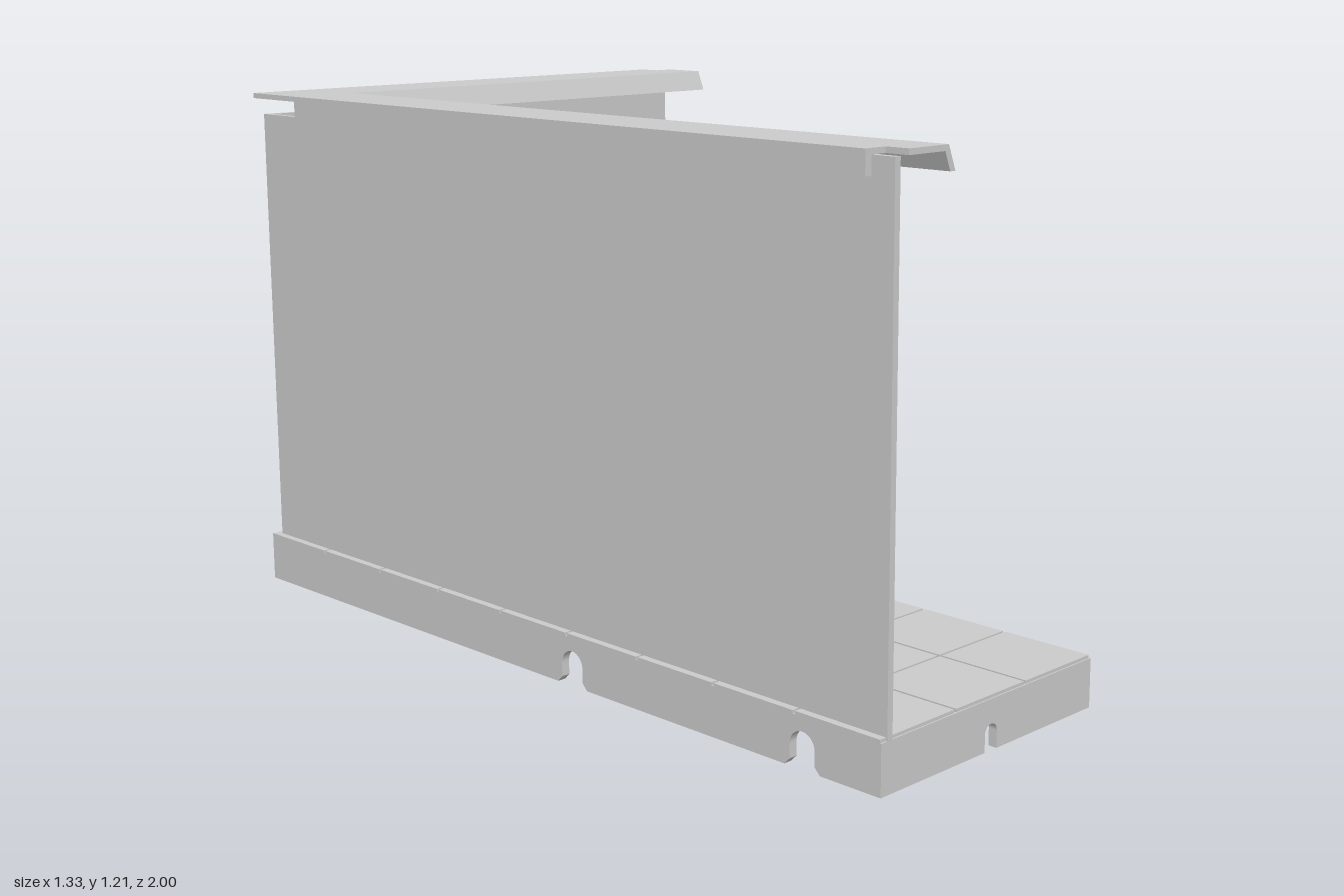
import * as THREE from 'three';

const W = 0.667, D = 1, FLOOR = 0.115, TOP = 1.21;
const grey = new THREE.MeshStandardMaterial({ color: 0xcccccc });
const thin = new THREE.MeshStandardMaterial({ color: 0xcccccc, side: THREE.DoubleSide, flatShading: true });
const yellow = new THREE.MeshStandardMaterial({ color: 0xdede00 });

function add(parent, name, geometry, material = grey) {
  const mesh = new THREE.Mesh(geometry, material);
  mesh.name = name;
  parent.add(mesh);
  return mesh;
}

// Box given by its minimum and maximum corners
function block(parent, name, x0, x1, y0, y1, z0, z1, material = grey) {
  const mesh = add(parent, name, new THREE.BoxGeometry(x1 - x0, y1 - y0, z1 - z0), material);
  mesh.position.set((x0 + x1) / 2, (y0 + y1) / 2, (z0 + z1) / 2);
  return mesh;
}

const polygon = pts => new THREE.Shape(pts.map(p => new THREE.Vector2(...p)));
const rect = (x0, x1, y0, y1) => polygon([[x0, y0], [x1, y0], [x1, y1], [x0, y1]]);
const extrude = (shape, depth) => new THREE.ExtrudeGeometry(shape, { depth, bevelEnabled: false, curveSegments: 10 });

// One side of the plinth from a to b, with cable arches cut out of its lower edge
function skirt(parent, a, b, arches) {
  const dx = b[0] - a[0], dz = b[1] - a[1], len = Math.hypot(dx, dz), t = 0.02;
  const s = new THREE.Shape();
  s.moveTo(0, 0);
  for (const [at, big] of arches) {
    const r = big ? 0.033 : 0.019, h = big ? 0.078 : 0.056, f = big ? 0.014 : 0;
    s.lineTo(at - r - f, 0);
    s.lineTo(at - r, f);
    s.lineTo(at - r, h - r);
    s.absarc(at, h - r, r, Math.PI, 0, true);
    s.lineTo(at + r, f);
    s.lineTo(at + r + f, 0);
  }
  s.lineTo(len, 0);
  s.lineTo(len, 0.108);
  s.lineTo(0, 0.108);
  const g = extrude(s, t);
  g.translate(0, 0, -t);
  const m = add(parent, 'plinthSide', g);
  m.position.set(a[0], 0, a[1]);
  m.rotation.y = Math.atan2(-dz, dx);
}

function buildBase(root) {
  const base = new THREE.Group();
  base.name = 'base';
  root.add(base);
  const c = -0.333;
  skirt(base, [-W, D], [0, D], [[0.333, false]]);
  skirt(base, [0, D], [0, c], [[0.2, true], [0.333, false], [0.87, true], [1, false]]);
  skirt(base, [0, c], [W, c], [[0.2, true], [0.333, false]]);
  skirt(base, [W, c], [W, -D], [[0.333, false]]);
  skirt(base, [W, -D], [-W, -D], [[W - 0.2, true]]);
  skirt(base, [-W, -D], [-W, D], [[1.13, true], [1.8, true]]);

  // L-shaped slab below the tiles
  const i = 0.01;
  const slab = extrude(polygon([[-W + i, -D + i], [-i, -D + i], [-i, -c + i], [W - i, -c + i], [W - i, D - i], [-W + i, D - i]]), 0.021);
  slab.rotateX(-Math.PI / 2);
  slab.translate(0, 0.086, 0);
  add(base, 'floorSlab', slab);

  // Square floor tiles with open joints
  const p = 2 / 9, g = 0.003;
  for (let r = 0; r < 9; r++) {
    for (let k = 0; k < (r < 3 ? 6 : 3); k++) {
      const x = -W + k * p, z = -D + r * p;
      block(base, 'floorTile', x + (k ? g : 0), x + p - g, 0.106, FLOOR, z + (r ? g : 0), z + p - g);
    }
  }
}

// Mitred sweep of a section [distance from the outer edge, y] along both walls
function cornice(parent, name, section, inset) {
  const stations = [
    d => [-W + d, D - inset],
    d => [-W + d, -D + d],
    d => [W - inset, -D + d],
  ];
  const pos = [], n = section.length;
  const pt = (s, i) => {
    const [d, y] = section[i % n], [x, z] = stations[s](d);
    return [x, y, z];
  };
  for (let s = 0; s < 2; s++) {
    for (let i = 0; i < n; i++) {
      const a = pt(s, i), b = pt(s, i + 1), e = pt(s + 1, i + 1), f = pt(s + 1, i);
      pos.push(...a, ...b, ...e, ...a, ...e, ...f);
    }
  }
  const caps = THREE.ShapeUtils.triangulateShape(section.map(p => new THREE.Vector2(...p)), []);
  for (const s of [0, 2]) for (const tri of caps) for (const i of tri) pos.push(...pt(s, i));
  const geo = new THREE.BufferGeometry();
  geo.setAttribute('position', new THREE.Float32BufferAttribute(pos, 3));
  geo.computeVertexNormals();
  add(parent, name, geo, thin);
}

// Slanted warning stripes on a thin backing strip, in wall coordinates
function hazard(parent, x0, x1, y0, y1) {
  block(parent, 'stripeBacking', x0, x1, y0, y1, 0, 0.003);
  const h = y1 - y0, clamp = v => Math.min(x1, Math.max(x0, v));
  for (let s = x0 - 0.05; s < x1; s += 0.1) {
    const a = clamp(s), b = clamp(s + 0.055), e = clamp(s + 0.055 + h), f = clamp(s + h);
    if (b - a + e - f < 0.004) continue;
    const m = add(parent, 'warningStripe', extrude(polygon([[a, y0], [b, y0], [e, y1], [f, y1]]), 0.002), yellow);
    m.position.z = 0.003;
  }
}

function buildBackWall(root) {
  const wall = new THREE.Group();
  wall.name = 'backWall';
  wall.position.z = -0.968;
  root.add(wall);
  block(wall, 'backPanel', -0.65, W, 0.09, 1.16, -0.016, 0);
  block(wall, 'backPanelTop', -0.5, W, 1.16, 1.198, -0.016, 0);
  block(wall, 'backLip', -0.5, W - 0.055, 1.16, 1.199, -0.032, -0.016);

  // Roller shutter with frame, header and slats
  const frame = rect(-0.385, 0.45, FLOOR, 0.785);
  frame.holes.push(rect(-0.363, 0.43, 0.69, 0.763), rect(-0.363, 0.43, FLOOR + 0.001, 0.672));
  add(wall, 'shutterFrame', extrude(frame, 0.022));
  block(wall, 'shutterHeader', -0.363, 0.43, 0.69, 0.763, 0, 0.013);
  const count = 17, pitch = (0.672 - FLOOR) / count;
  for (let i = 0; i < count; i++) {
    const y = FLOOR + i * pitch;
    block(wall, 'shutterSlat', -0.363, 0.43, y, y + pitch * 0.6, 0, 0.013);
    block(wall, 'shutterJoint', -0.363, 0.43, y + pitch * 0.6, y + pitch, 0, 0.005);
  }

  // Low panels, stripes and posts beside the shutter
  for (const [x0, x1, p0, p1] of [[-0.59, -0.385, -0.42, -0.385], [0.45, W, 0.45, 0.485]]) {
    block(wall, 'lowPanel', x0, x1, FLOOR, 0.339, 0, 0.003);
    block(wall, 'yellowPost', p0, p1, FLOOR, 0.339, 0, 0.006, yellow);
    hazard(wall, x0, x1, 0.339, 0.395);
  }
}

// The side wall is built facing +z and turned, so its x runs along -z
function buildSideWall(root) {
  const wall = new THREE.Group();
  wall.name = 'sideWall';
  wall.position.x = -0.635;
  wall.rotation.y = Math.PI / 2;
  root.add(wall);
  block(wall, 'sidePanel', -D, 0.984, 0.09, 1.16, -0.015, 0);
  block(wall, 'sidePanelTop', -D, 0.83, 1.16, 1.198, -0.015, 0);
  block(wall, 'sideLip', -D + 0.055, 0.83, 1.16, 1.199, -0.032, -0.015);
  hazard(wall, -0.97, -0.505, 0.342, 0.395);
  hazard(wall, -0.21, 0.96, 0.342, 0.395);

  // Door with yellow surround and pull bar
  block(wall, 'door', -0.487, -0.228, FLOOR, 0.604, 0, 0.003);
  const surround = rect(-0.505, -0.21, FLOOR, 0.622);
  surround.holes.push(rect(-0.487, -0.228, FLOOR + 0.001, 0.604));
  add(wall, 'doorSurround', extrude(surround, 0.007), yellow);
  block(wall, 'doorHandle', -0.302, -0.294, 0.26, 0.41, 0.003, 0.012);
}

function buildDuct(root) {
  const duct = new THREE.Group();
  duct.name = 'airDuct';
  duct.position.set(-0.562, 0.892, 0);
  root.add(duct);
  const tube = (name, r, z0, z1) => {
    const g = new THREE.CylinderGeometry(r, r, z1 - z0, 32);
    g.rotateX(Math.PI / 2);
    add(duct, name, g).position.z = (z0 + z1) / 2;
  };
  tube('ductTube', 0.071, -0.968, 0.145);
  for (let i = 0; i < 7; i++) tube('ductFlange', 0.077, 0.14 - i * 0.168, 0.15 - i * 0.168);

  // Louvred outlets on the open side
  for (const z of [-0.106, -0.606]) {
    const frame = rect(-0.068, 0.068, -0.045, 0.045);
    frame.holes.push(rect(-0.055, 0.055, -0.034, 0.034));
    const g = extrude(frame, 0.035);
    g.rotateY(Math.PI / 2);
    add(duct, 'outletFrame', g).position.set(0.042, 0, z);
    for (let i = 0; i < 5; i++) {
      const y = -0.028 + i * 0.014;
      block(duct, 'outletLouvre', 0.05, 0.075, y - 0.003, y + 0.003, z - 0.056, z + 0.056).rotation.z = -0.3;
    }
  }
}

export function createModel() {
  const root = new THREE.Group();
  root.name = 'roomCorner';
  buildBase(root);
  buildBackWall(root);
  buildSideWall(root);
  buildDuct(root);

  // Wall cap: notched outer strip, then plate with sloping inner lip
  const n = 0.055, u = 1.198;
  cornice(root, 'capOuterStrip', [[0, TOP], [n, TOP], [n, u], [0, u]], n);
  cornice(root, 'capPlate', [[n, TOP], [0.167, TOP], [0.187, 1.16], [0.172, 1.16], [0.157, u], [n, u]], 0);
  return root;
}
